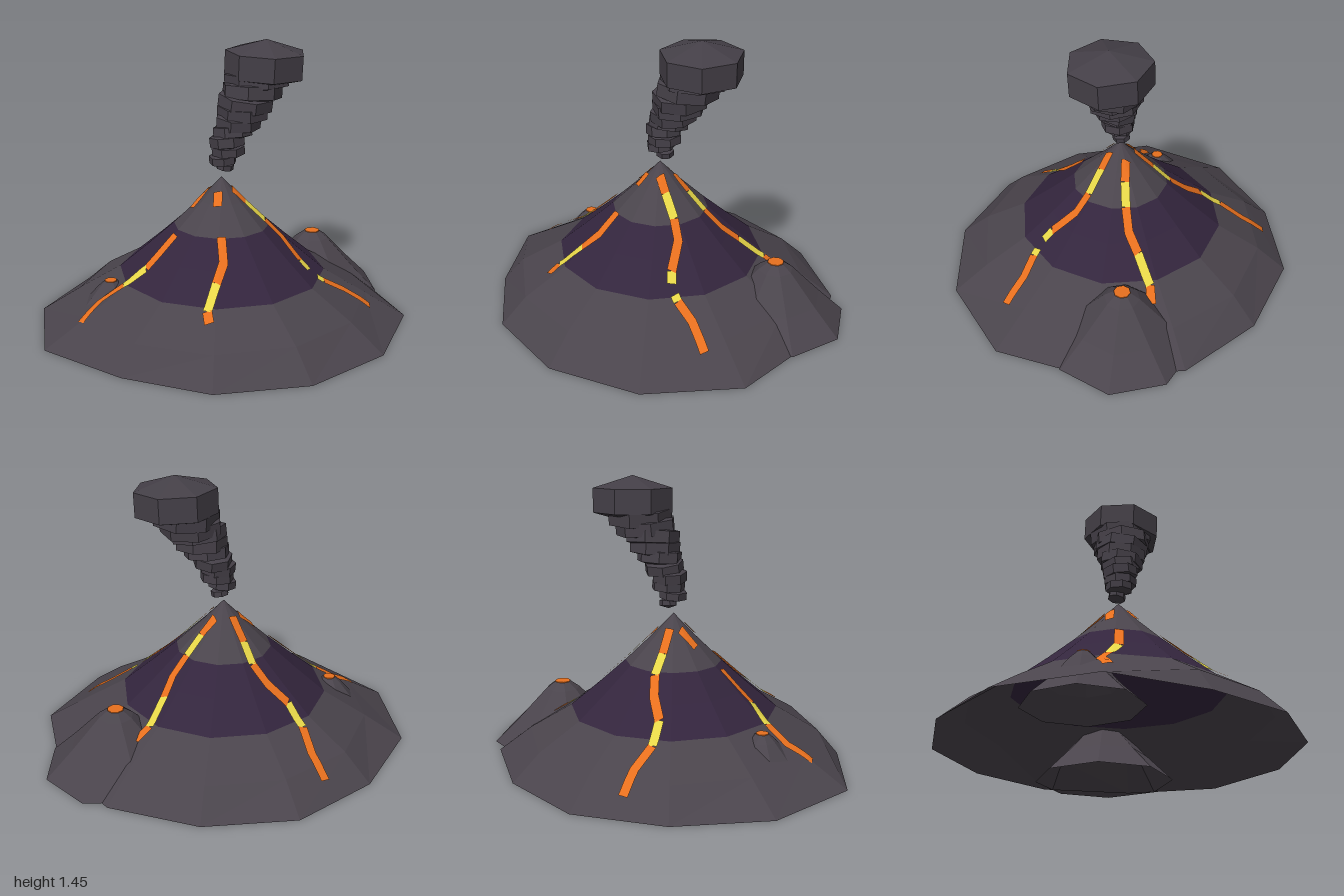
import * as THREE from 'three';

const mat = (name, color) => new THREE.MeshStandardMaterial({ name, color, side: THREE.DoubleSide });

const CX = -0.015, SIDES = 12;
// Cone profile from base to peak: [radius, height]
const PROFILE = [[0.93, 0], [0.76, 0.13], [0.54, 0.26], [0.385, 0.39], [0.25, 0.51], [0.115, 0.64], [0.001, 0.76]];
// Uneven foot of the mountain, one radius per spoke starting at +x
const FOOT = [0.92, 0.975, 0.94, 0.91, 0.89, 0.87, 0.985, 0.965, 0.91, 0.915, 0.9, 0.93];

function facets(positions) {
  const g = new THREE.BufferGeometry();
  g.setAttribute('position', new THREE.Float32BufferAttribute(positions, 3));
  g.computeVertexNormals();
  return g;
}

// Open faceted shell through a list of [radius or radii, height] rings
function shell(rings, sides) {
  const pos = [];
  const point = ([r, y], k) => {
    const i = k % sides, a = (i / sides) * Math.PI * 2;
    const rad = Array.isArray(r) ? r[i] : r;
    return [rad * Math.cos(a), y, rad * Math.sin(a)];
  };
  for (let j = 0; j < rings.length - 1; j++) {
    for (let k = 0; k < sides; k++) {
      const a = point(rings[j], k), b = point(rings[j], k + 1);
      const c = point(rings[j + 1], k + 1), d = point(rings[j + 1], k);
      pos.push(...a, ...d, ...b, ...b, ...d, ...c);
    }
  }
  return facets(pos);
}

// Height of the faceted cone above (x, z)
function coneHeight(x, z) {
  const step = (Math.PI * 2) / SIDES, r = Math.hypot(x - CX, z);
  const a = (Math.atan2(z, x - CX) + Math.PI * 2) % step;
  const s = (r * Math.cos(a - step / 2)) / Math.cos(step / 2);
  for (let j = 0; j < PROFILE.length - 1; j++) {
    const [r0, y0] = PROFILE[j], [r1, y1] = PROFILE[j + 1];
    if (s >= r1) return y0 + ((r0 - s) / (r0 - r1)) * (y1 - y0);
  }
  return 0.76;
}

// Ribbon of lava draped along a plan path of [x, z] points
function ribbon(path, lift, width = 0.046) {
  const pts = path.map(([x, z]) => new THREE.Vector2(x, z));
  const rows = [];
  pts.forEach((p, i) => {
    const prev = pts[Math.max(i - 1, 0)], next = pts[Math.min(i + 1, pts.length - 1)];
    const t = next.clone().sub(prev).normalize();
    const row = { p, n: new THREE.Vector2(-t.y, t.x) };
    if (i > 0) {
      const last = rows[rows.length - 1], count = Math.max(1, Math.ceil(p.distanceTo(prev) / 0.025));
      for (let s = 1; s < count; s++) {
        rows.push({ p: last.p.clone().lerp(p, s / count), n: last.n.clone().lerp(row.n, s / count) });
      }
    }
    rows.push(row);
  });
  const at = (row, side) => {
    const x = row.p.x + row.n.x * side * width / 2, z = row.p.y + row.n.y * side * width / 2;
    return [x, coneHeight(x, z) + lift, z];
  };
  const pos = [];
  for (let i = 0; i < rows.length - 1; i++) {
    for (const s of [-1, 0]) {
      const a = at(rows[i], s), b = at(rows[i], s + 1), c = at(rows[i + 1], s + 1), d = at(rows[i + 1], s);
      pos.push(...a, ...b, ...d, ...b, ...c, ...d);
    }
  }
  return facets(pos);
}

export function createModel() {
  const rock = mat('rock grey', 0x4a444c);
  const dark = mat('dark purple rock', 0x33253d);
  const ash = mat('ash grey', 0x443f47);
  const orange = mat('lava orange', 0xe8701e);
  const yellow = mat('lava yellow', 0xe6d648);

  const model = new THREE.Group();
  model.name = 'volcano';
  const add = (name, geometry, material, parent = model) => {
    const mesh = new THREE.Mesh(geometry, material);
    mesh.name = name;
    parent.add(mesh);
    return mesh;
  };

  // Mountain in three bands
  const rings = [[FOOT, 0], ...PROFILE.slice(1)];
  add('lowerSlope', shell(rings.slice(0, 3), SIDES), rock).position.x = CX;
  add('middleSlope', shell(rings.slice(2, 5), SIDES), dark).position.x = CX;
  add('peak', shell(rings.slice(4), SIDES), rock).position.x = CX;

  // Side vents with molten tops
  const vents = [
    ['largeVent', 0.625, [[0.375, 0], [0.24, 0.13], [0.09, 0.285], [0.042, 0.32]]],
    ['smallVent', -0.595, [[0.28, 0], [0.17, 0.1], [0.07, 0.215], [0.032, 0.25]]],
  ];
  for (const [name, x, profile] of vents) {
    const vent = new THREE.Group();
    vent.name = name;
    vent.position.set(x, 0, -0.12);
    add(name + 'Slope', shell(profile, 8), rock, vent);
    const [r, y] = profile[profile.length - 1];
    const pool = add(name + 'Pool', new THREE.CylinderGeometry(r, r, 0.008, 8), orange, vent);
    pool.position.y = y;
    model.add(vent);
  }

  // Lava streams: [colour, plan path, runs under the surface]
  const O = orange, Y = yellow;
  const streams = {
    backStream: [
      [O, [[-0.035, -0.07], [-0.055, -0.17]]],
      [Y, [[-0.055, -0.17], [-0.065, -0.26]]],
      [O, [[-0.065, -0.26], [-0.11, -0.34], [-0.19, -0.42]]],
      [Y, [[-0.19, -0.42], [-0.22, -0.53]]],
      [O, [[-0.22, -0.53], [-0.205, -0.66], [-0.22, -0.78]]],
    ],
    rightStream: [
      [O, [[-0.08, -0.04], [-0.17, -0.035]]],
      [Y, [[-0.17, -0.02], [-0.21, 0]], true],
      [O, [[-0.21, 0], [-0.29, 0.02]], true],
      [O, [[-0.29, 0.02], [-0.46, 0.03]]],
      [Y, [[-0.46, 0.03], [-0.57, -0.01]]],
      [O, [[-0.57, -0.01], [-0.69, -0.035], [-0.81, 0.005]]],
    ],
    frontRightStream: [
      [O, [[-0.06, 0.05], [-0.09, 0.1]]],
      [Y, [[-0.08, 0.11], [-0.13, 0.22]], true],
      [O, [[-0.13, 0.22], [-0.17, 0.32], [-0.24, 0.38]]],
      [Y, [[-0.24, 0.38], [-0.33, 0.46]]],
      [O, [[-0.33, 0.46], [-0.35, 0.52]]],
      [O, [[-0.37, 0.53], [-0.37, 0.68]], true],
    ],
    frontLeftStream: [
      [O, [[0.02, 0.05], [0.08, 0.085]]],
      [Y, [[0.08, 0.085], [0.17, 0.135]]],
      [O, [[0.17, 0.135], [0.235, 0.19], [0.28, 0.31]]],
      [Y, [[0.28, 0.31], [0.31, 0.35]]],
      [Y, [[0.345, 0.375], [0.375, 0.39]]],
      [O, [[0.375, 0.39], [0.48, 0.42], [0.6, 0.49]]],
    ],
    leftStream: [
      [O, [[0.05, -0.04], [0.13, -0.05]]],
      [Y, [[0.13, -0.05], [0.22, -0.07]]],
      [O, [[0.22, -0.07], [0.31, -0.1], [0.38, -0.16]]],
      [Y, [[0.38, -0.16], [0.49, -0.24]]],
      [O, [[0.49, -0.24], [0.57, -0.26]]],
    ],
  };
  for (const [name, parts] of Object.entries(streams)) {
    const stream = new THREE.Group();
    stream.name = name;
    parts.forEach(([m, path, under], i) => add(`${name}Part${i + 1}`, ribbon(path, under ? -0.012 : 0.012), m, stream));
    model.add(stream);
  }

  // Ash plume of tilted flattened puffs: [x, y, half width, half height]
  let seed = 7;
  const random = () => (seed = (seed * 16807) % 2147483647) / 2147483647;
  const plume = new THREE.Group();
  plume.name = 'ashPlume';
  const puffs = [
    [0.01, 0.812, 0.045, 0.028], [-0.01, 0.855, 0.07, 0.038], [0.02, 0.9, 0.085, 0.042], [0.015, 0.95, 0.09, 0.05],
    [0.045, 0.995, 0.1, 0.05], [0.075, 1.045, 0.115, 0.055], [0.105, 1.095, 0.13, 0.06], [0.12, 1.145, 0.14, 0.06],
    [0.155, 1.195, 0.155, 0.065], [0.19, 1.25, 0.165, 0.07], [0.235, 1.328, 0.205, 0.125],
  ];
  puffs.forEach(([x, y, w, h], i) => {
    const g = new THREE.SphereGeometry(1, 7, 3).toNonIndexed();
    g.scale(w / 0.85, h, w / 0.85);
    g.computeVertexNormals();
    const puff = add(`puff${i + 1}`, g, ash, plume);
    const tilt = i === puffs.length - 1 ? 0.1 : 0.35;
    puff.position.set(x, y, (random() - 0.5) * 0.02);
    puff.rotation.set((random() - 0.5) * tilt, random() * 6.28, (random() - 0.5) * tilt, 'XZY');
  });
  model.add(plume);
  return model;
}
